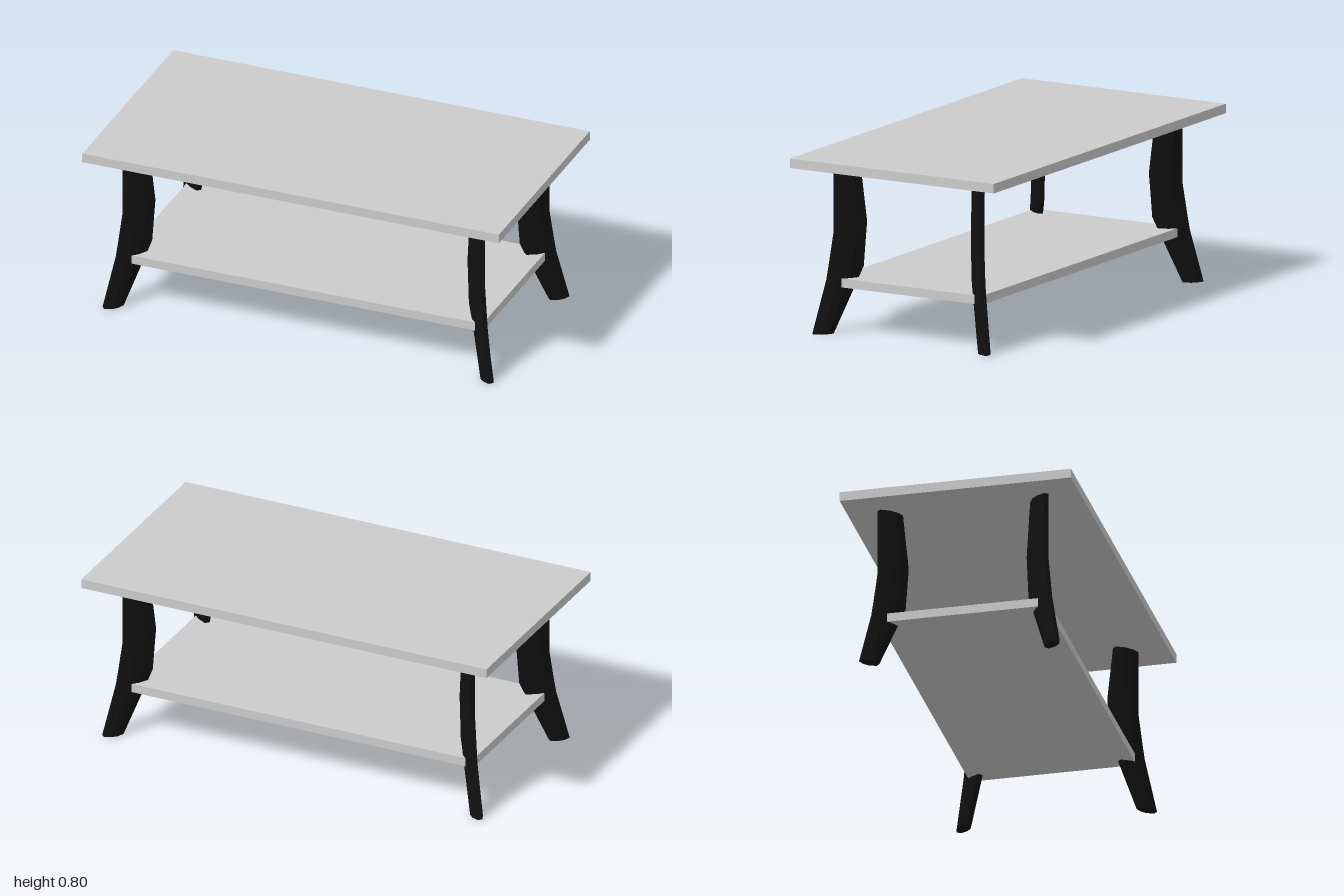
import * as THREE from 'three';

const grey = new THREE.MeshStandardMaterial({ color: 0xcccccc, flatShading: true });
const black = new THREE.MeshStandardMaterial({ color: 0x111111, flatShading: true });

// Leg outline: height, inner edge, outer edge (measured along one table axis)
const LEG_LEVELS = [
  [0, 0.377, 0.458],
  [0.24, 0.299, 0.413],
  [0.3, 0.28, 0.406],
  [0.45, 0.272, 0.39],
  [0.5, 0.269, 0.39],
  [0.757, 0.29, 0.39],
];
const END = 0.011;  // half thickness at the leg's narrow edges
const MID = 0.025;  // half thickness at its middle
// Eight-sided section: fraction from inner to outer edge, half thickness
const SECTION = [
  [1, -END], [1, END], [0.66, MID], [0.34, MID],
  [0, END], [0, -END], [0.34, -MID], [0.66, -MID],
];

// Lofts the tapered section up the curved outline; local +x points outward
function legGeometry() {
  const n = SECTION.length;
  const positions = [];
  const index = [];
  for (const [y, inner, outer] of LEG_LEVELS) {
    const u0 = inner * Math.SQRT2 + END;
    const u1 = outer * Math.SQRT2 - END;
    for (const [t, v] of SECTION) positions.push(u0 + (u1 - u0) * t, y, v);
  }
  for (let r = 0; r < LEG_LEVELS.length - 1; r++) {
    for (let i = 0; i < n; i++) {
      const a = r * n + i;
      const b = r * n + (i + 1) % n;
      index.push(a, a + n, b, b, a + n, b + n);
    }
  }
  const top = (LEG_LEVELS.length - 1) * n;
  for (let i = 1; i < n - 1; i++) {
    index.push(0, i, i + 1);
    index.push(top, top + i + 1, top + i);
  }
  const geometry = new THREE.BufferGeometry();
  geometry.setAttribute('position', new THREE.Float32BufferAttribute(positions, 3));
  geometry.setIndex(index);
  const flat = geometry.toNonIndexed();
  flat.computeVertexNormals();
  return flat;
}

function board(name, width, depth, bottom, top) {
  const mesh = new THREE.Mesh(new THREE.BoxGeometry(width, top - bottom, depth), grey);
  mesh.position.y = (bottom + top) / 2;
  mesh.name = name;
  return mesh;
}

export function createModel() {
  const table = new THREE.Group();
  table.name = 'coffeeTable';

  table.add(board('tableTop', 2, 1.055, 0.757, 0.8));
  table.add(board('lowerShelf', 1.72, 0.76, 0.21, 0.25));

  // Four legs splayed diagonally towards the corners
  const geometry = legGeometry();
  for (const sx of [1, -1]) {
    for (const sz of [1, -1]) {
      const leg = new THREE.Mesh(geometry, black);
      leg.name = (sz > 0 ? 'front' : 'back') + (sx > 0 ? 'Left' : 'Right') + 'Leg';
      leg.position.x = sx * 0.48;
      leg.rotation.y = -Math.atan2(sz, sx);
      table.add(leg);
    }
  }
  return table;
}
